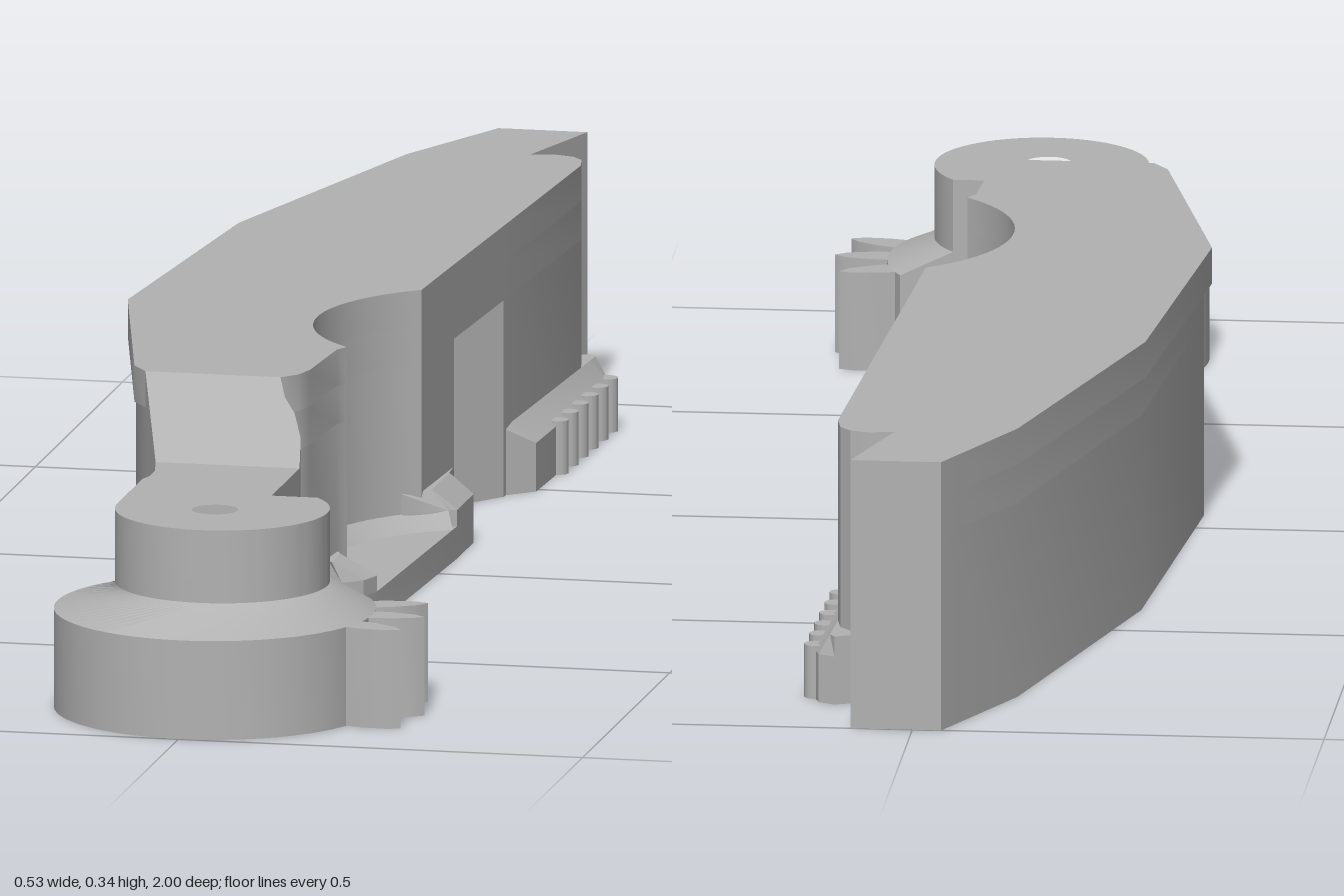
import * as THREE from 'three';
import { toCreasedNormals } from 'three/addons/utils/BufferGeometryUtils.js';

const HUB = [0.003, 0.803];
const POCKET = [0.2, 0.11];

// points [x, z] along an arc in plan
function arc([cx, cz], r, a0, a1, n = 32) {
  return Array.from({ length: n + 1 }, (_, i) => {
    const a = a0 + (a1 - a0) * i / n;
    return [cx + r * Math.cos(a), cz + r * Math.sin(a)];
  });
}

// plan outline raised from y0 to y1, optionally with a round hole;
// reshape(x, z) may return a new [x, y] for the upper vertices
function slab(pts, y0, y1, hole, reshape) {
  const shape = new THREE.Shape(pts.map(([x, z]) => new THREE.Vector2(x, -z)));
  if (hole) {
    const path = new THREE.Path();
    path.absarc(HUB[0], -HUB[1], hole, 0, Math.PI * 2, true);
    shape.holes.push(path);
  }
  const g = new THREE.ExtrudeGeometry(shape, { depth: y1 - y0, bevelEnabled: false, curveSegments: 24 });
  g.rotateX(-Math.PI / 2).translate(0, y0, 0);
  const p = g.attributes.position;
  if (reshape) {
    for (let i = 0; i < p.count; i++) {
      if (p.getY(i) < y1 - 0.001) continue;
      const [x, y] = reshape(p.getX(i), p.getZ(i));
      p.setX(i, x).setY(i, y);
    }
  }
  return toCreasedNormals(g, 0.5);
}

// sloping band between an outer and an inner plan curve
function band(outer, yo, inner, yi) {
  const pos = [], idx = [];
  outer.forEach(([x, z], i) => {
    pos.push(x, yo, z, inner[i][0], yi, inner[i][1]);
    const k = i * 2;
    if (i < outer.length - 1) idx.push(k, k + 1, k + 2, k + 1, k + 3, k + 2);
  });
  const g = new THREE.BufferGeometry();
  g.setAttribute('position', new THREE.Float32BufferAttribute(pos, 3));
  g.setIndex(idx);
  g.computeVertexNormals();
  return toCreasedNormals(g, 0.5);
}

// arm outline, with or without the V notch and the slight outer lip
function armOutline(notch, lip) {
  const o = lip ? 0.01 : 0;
  return [
    [-0.157, 0.46], [-0.167 - o, 0.43], [-0.255 - o, 0.06], [-0.222 - o / 2, -0.4],
    [-0.112, -0.83], [-0.035, -1], [0.075, -1], [0.035, -0.86],
    [0.065, -0.865], [0.088, -0.858], [0.102, -0.842], [0.108, -0.81], [0.09, -0.45],
    ...(notch ? [[0, -0.33]] : []), [0.078, -0.22],
    ...arc(POCKET, 0.22, Math.PI * 1.3, Math.PI * 0.735, 24),
    [0.043, 0.29], [0.036, 0.41], [0.028, 0.44], [0.01, 0.46],
  ];
}

export function createModel() {
  const group = new THREE.Group();
  const grey = new THREE.MeshStandardMaterial({ color: 0xb2b2b2 });
  grey.name = 'plain grey';
  const add = (name, geometry) => {
    const mesh = new THREE.Mesh(geometry, grey);
    mesh.name = name;
    group.add(mesh);
    return mesh;
  };

  // Arm in three layers: notched below, plain above, lipped on top
  add('armLower', slab(armOutline(true, false), 0, 0.243));
  add('armMiddle', slab(armOutline(false, false), 0.243, 0.29));
  add('armTopLip', slab(armOutline(false, true), 0.29, 0.335));

  // Ramp and neck down to the hub
  add('ramp', slab(
    [[-0.157, 0.46], [-0.125, 0.55], [0.053, 0.55], [0.048, 0.52], [0.035, 0.495], [0.02, 0.48], [0.01, 0.46]],
    0, 0.335, 0, (x, z) => [x, 0.335 - (z - 0.46) / 0.09 * 0.092]));
  add('neck', slab(
    [[-0.125, 0.55], [-0.115, 0.6], [-0.115, 0.63], [-0.12, 0.65], [-0.12, 0.71], [0.053, 0.71], [0.053, 0.55]],
    0, 0.243));

  // Hub: wide disc, sloping shoulder and boss, cut flat beside the neck
  const corner = [-0.12, 0.71];
  const discEdge = arc(HUB, 0.195, -Math.asin(0.093 / 0.195), Math.PI + Math.asin(0.153 / 0.195), 56);
  const bossEdge = arc([0.01, 0.793], 0.13, -Math.asin(0.083 / 0.13), Math.PI, 56);
  add('hubDisc', slab([...discEdge, corner], 0, 0.122, 0.065));
  add('hubShoulder', band([...discEdge, corner], 0.122, [...bossEdge, corner], 0.153));
  add('hubShoulderEnd', band([corner, discEdge[0]], 0.122, [corner, bossEdge[0]], 0.153));
  add('hubBoss', slab([...bossEdge, corner], 0.122, 0.243, 0.028));

  // Gear teeth on the hub
  const tooth = [[0.18, -0.02], [0.215, -0.018], [0.245, -0.011], [0.259, 0], [0.245, 0.011], [0.215, 0.018], [0.18, 0.02]];
  for (const a of [-0.31, 0, 0.31]) {
    const c = Math.cos(a), s = Math.sin(a);
    add('gearTooth', slab(tooth.map(([r, t]) => [HUB[0] + r * c - t * s, HUB[1] + r * s + t * c]), 0, 0.122));
  }

  // Bottom flange with a shallow round pocket
  add('pocketFloor', slab(
    [[-0.03, -0.1], [0.03, -0.2], [0.078, -0.22], [0.11, -0.185], [0.11, -0.09], [0.095, 0.29],
      [0.085, 0.33], [0.062, 0.35], [0.045, 0.345], [0, 0.3], [-0.03, 0.2]], 0, 0.04));
  add('pocketBevel', band(
    arc(POCKET, 0.22, Math.PI * 0.65, Math.PI * 1.35), 0.06,
    arc(POCKET, 0.2, Math.PI * 0.65, Math.PI * 1.35), 0.04));
  const flangeEnds = [
    [[0.05, -0.05], [0.1, -0.086], [0.11, -0.09], [0.11, -0.185], [0.078, -0.22], [0.04, -0.15]],
    [[0.03, 0.26], [0.095, 0.3], [0.085, 0.33], [0.062, 0.35], [0.045, 0.345]],
  ];
  flangeEnds.forEach((pts, i) => {
    const inner = i ? 0.05 : 0.08;
    add('flangeEnd', slab(pts, 0.04, 0.06));
    add('flangeEndBevel', slab(pts, 0.06, 0.085, 0, (x) => [Math.min(x, inner), 0.085]));
  });

  // Ribbed grip strip near the rear
  const strip = [[0.085, -0.455], [0.122, -0.488], [0.134, -0.85], [0.125, -0.878], [0.105, -0.888],
    [0.085, -0.88], [0.07, -0.85]];
  add('gripStrip', slab(strip, 0, 0.06));
  add('gripStripBevel', slab(strip, 0.06, 0.085, 0, (x, z) => [Math.min(x, 0.09 - (z + 0.45) * 0.05), 0.085]));
  for (let i = 0; i < 6; i++) {
    const rib = new THREE.CylinderGeometry(0.013, 0.013, 0.066, 12);
    add('gripRib', rib).position.set(0.125 + i * 0.0015, 0.033, -0.6 - i * 0.05);
  }
  return group;
}
